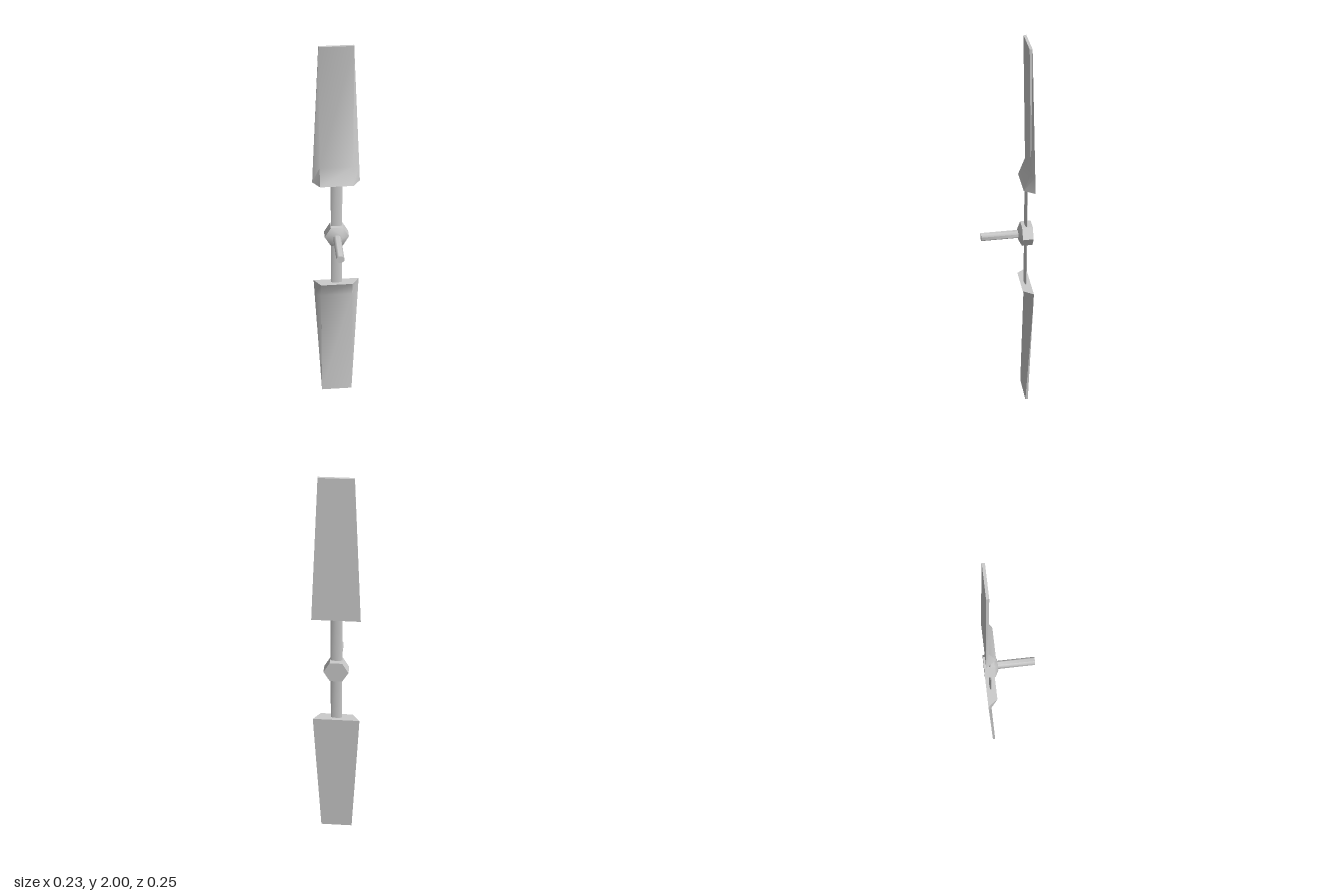
import * as THREE from 'three';
import { toCreasedNormals } from 'three/addons/utils/BufferGeometryUtils.js';

const CENTER_Y = 1;
const material = new THREE.MeshStandardMaterial({ color: 0xcccccc });

function part(name, geometry, crease = 0.6) {
  const mesh = new THREE.Mesh(toCreasedNormals(geometry, crease), material);
  mesh.name = name;
  return mesh;
}

// Blade lofted through four-cornered sections: [y, front z, back z, front half width, back half width]
function bladeGeometry() {
  const sections = [
    [0.289, -0.07, -0.12, 0.08, 0.115],
    [0.375, -0.103, -0.118, 0.08, 0.111],
    [1.0, -0.09, -0.103, 0.08, 0.08],
  ];
  const positions = [];
  const index = [];
  for (const [y, zf, zb, wf, wb] of sections) {
    positions.push(-wf, y, zf, wf, y, zf, wb, y, zb, -wb, y, zb);
  }
  for (let s = 0; s < sections.length - 1; s++) {
    for (let i = 0; i < 4; i++) {
      const a = s * 4 + i;
      const b = s * 4 + (i + 1) % 4;
      index.push(a, b, b + 4, a, b + 4, a + 4);
    }
  }
  // Root and tip caps
  const t = (sections.length - 1) * 4;
  index.push(0, 2, 1, 0, 3, 2, t, t + 1, t + 2, t, t + 2, t + 3);
  const geometry = new THREE.BufferGeometry();
  geometry.setAttribute('position', new THREE.Float32BufferAttribute(positions, 3));
  geometry.setIndex(index);
  return geometry;
}

export function createModel() {
  const model = new THREE.Group();
  model.name = 'propeller';

  // Two opposite blades, each on a flattened spar
  const spar = new THREE.CylinderGeometry(0.028, 0.028, 0.29, 8);
  spar.scale(1, 1, 0.25);
  spar.translate(0, 0.165, -0.096);
  for (let i = 0; i < 2; i++) {
    const arm = new THREE.Group();
    arm.name = i === 0 ? 'upperArm' : 'lowerArm';
    arm.add(part('blade', bladeGeometry()), part('spar', spar, 0.9));
    arm.position.y = CENTER_Y;
    arm.rotation.z = i * Math.PI;
    model.add(arm);
  }

  // Six-sided hub with a chamfered nose, turned about z
  const profile = [[0, -0.125], [0.06, -0.125], [0.06, -0.073], [0.028, -0.057], [0, -0.057]]
    .map(([r, z]) => new THREE.Vector2(r, z));
  const hubGeometry = new THREE.LatheGeometry(profile, 6, Math.PI / 2);
  hubGeometry.rotateX(Math.PI / 2);
  const hub = part('hub', hubGeometry, 0.9);
  hub.position.y = CENTER_Y;
  model.add(hub);

  // Axle reaching forward from the hub
  const axleGeometry = new THREE.CylinderGeometry(0.02, 0.02, 0.193, 8);
  axleGeometry.rotateY(Math.PI / 8);
  axleGeometry.rotateX(Math.PI / 2);
  const axle = part('axle', axleGeometry, 0.9);
  axle.position.set(0, CENTER_Y, 0.0275);
  model.add(axle);

  return model;
}
